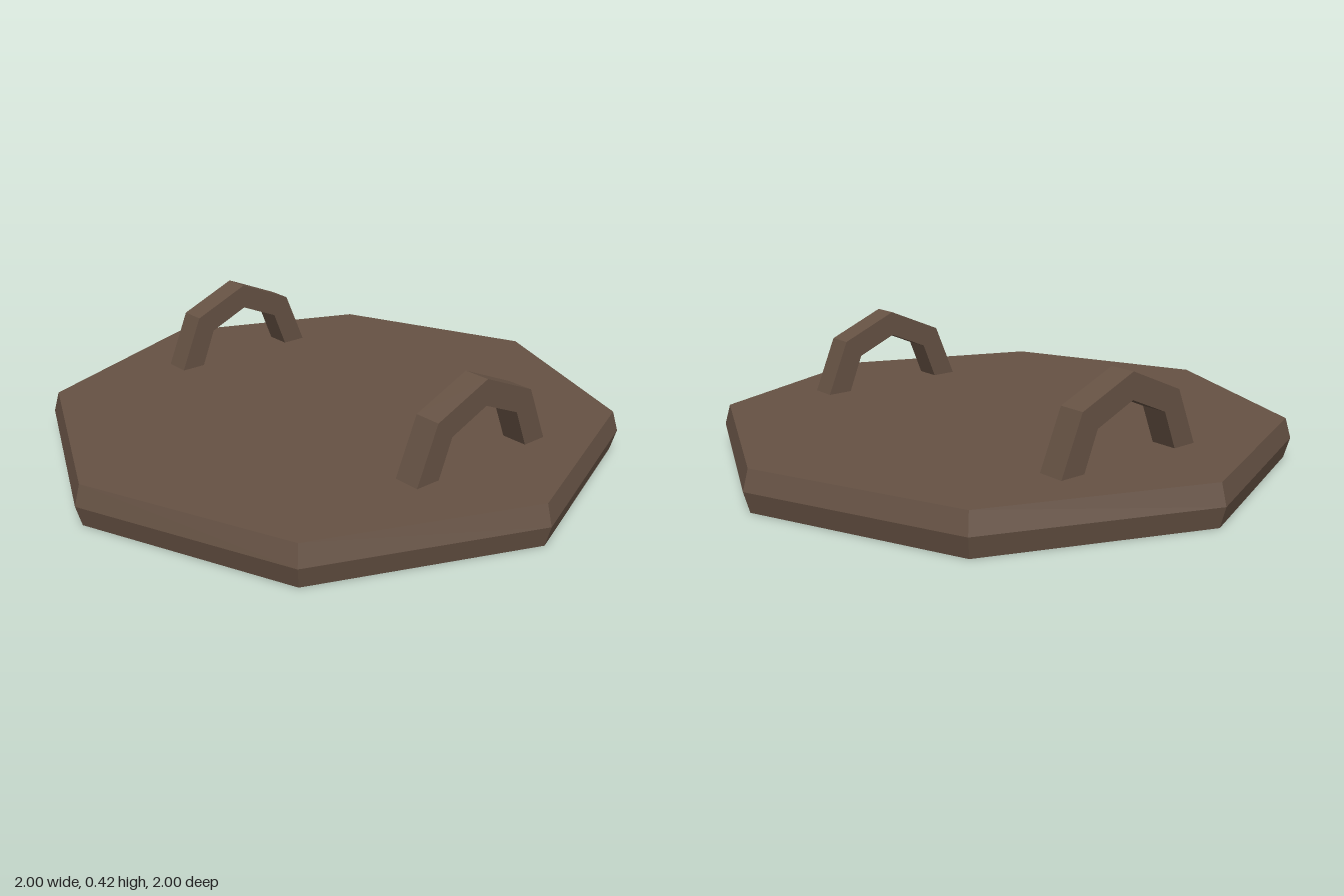
import * as THREE from 'three';

export function createModel() {
  const group = new THREE.Group();
  const wood = new THREE.MeshStandardMaterial({ color: 0x665244, flatShading: true });
  wood.name = 'dark brown wood';

  // Octagonal board with a rim that swells slightly at mid height
  const T = 0.14, R = 1, rimInset = 0.02;
  const profile = [
    [0, 0], [R - rimInset, 0], [R, T / 2], [R - rimInset, T], [0, T],
  ].map(([r, y]) => new THREE.Vector2(r, y));
  const board = new THREE.Mesh(new THREE.LatheGeometry(profile, 8), wood);
  board.name = 'board';
  group.add(board);

  // Arched handle: half of an octagonal ring, feet resting on the board
  const width = 0.092, centreZ = -0.058;
  const arc = (side) => [
    [side.foot, T - 0.002], [side.shoulder, side.shoulderY], [0, side.top],
    [-side.shoulder, side.shoulderY], [-side.foot, T - 0.002],
  ];
  const outer = arc({ foot: 0.288, shoulder: 0.207, shoulderY: 0.33, top: 0.418 });
  const inner = arc({ foot: 0.197, shoulder: 0.145, shoulderY: 0.268, top: 0.33 });
  const outline = [...outer, ...inner.reverse()].map(([z, y]) => new THREE.Vector2(z, y));
  const handleGeometry = new THREE.ExtrudeGeometry(new THREE.Shape(outline), {
    depth: width, bevelEnabled: false,
  });
  handleGeometry.translate(0, 0, -width / 2).rotateY(-Math.PI / 2);

  for (const [name, x] of [['leftHandle', 0.628], ['rightHandle', -0.633]]) {
    const handle = new THREE.Mesh(handleGeometry, wood);
    handle.name = name;
    handle.position.set(x, 0, centreZ);
    group.add(handle);
  }
  return group;
}
